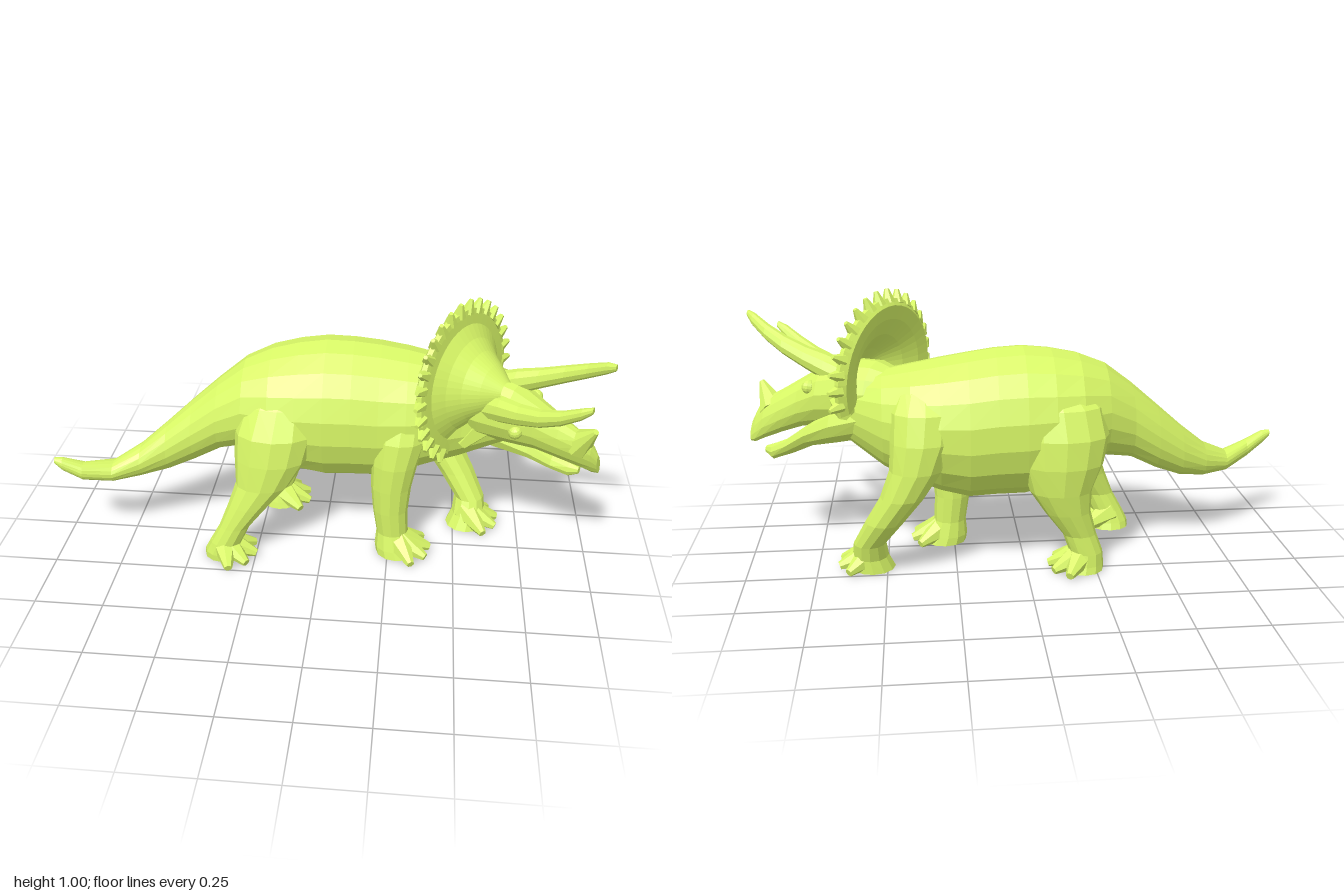
import * as THREE from 'three';

const skin = new THREE.MeshStandardMaterial({ color: 0xd9f867, flatShading: true, side: THREE.DoubleSide });

function addMesh(parent, name, geometry) {
  const mesh = new THREE.Mesh(geometry, skin);
  mesh.name = name;
  parent.add(mesh);
  return mesh;
}

// Closed skin over elliptical rings; each section is [x, y, z, radiusU, radiusV].
// Rings stand upright across x, or lie flat when flat is true (sections then run downwards).
function loft(sections, sides, flat = false) {
  const pos = [], index = [], rows = sections.length;
  for (const [x, y, z, ru, rv] of sections) {
    for (let j = 0; j < sides; j++) {
      const a = (j / sides) * Math.PI * 2, u = ru * Math.cos(a), v = rv * Math.sin(a);
      pos.push(flat ? x + u : x, flat ? y : y + u, z + v);
    }
  }
  for (let i = 0; i < rows - 1; i++) {
    for (let j = 0; j < sides; j++) {
      const k = (j + 1) % sides, a = i * sides, b = a + sides;
      index.push(a + j, a + k, b + j, a + k, b + k, b + j);
    }
  }
  const first = rows * sides, lastRing = first - sides;
  pos.push(...sections[0].slice(0, 3), ...sections[rows - 1].slice(0, 3));
  for (let j = 0; j < sides; j++) {
    const k = (j + 1) % sides;
    index.push(first, k, j, first + 1, lastRing + j, lastRing + k);
  }
  const g = new THREE.BufferGeometry();
  g.setAttribute('position', new THREE.Float32BufferAttribute(pos, 3));
  g.setIndex(index);
  g.computeVertexNormals();
  return g;
}

// Cone running from a base point to a tip point
function spike(parent, name, base, tip, radius, tipRadius, sides = 6) {
  const a = new THREE.Vector3(...base), b = new THREE.Vector3(...tip);
  const dir = b.clone().sub(a);
  const mesh = addMesh(parent, name, new THREE.CylinderGeometry(tipRadius, radius, dir.length(), sides));
  mesh.position.copy(a).add(b).multiplyScalar(0.5);
  mesh.quaternion.setFromUnitVectors(new THREE.Vector3(0, 1, 0), dir.normalize());
}

// Leg from shoulder or hip to sole, with four splayed toes around the heading angle
function leg(parent, name, sections, heading) {
  const g = new THREE.Group();
  g.name = name;
  parent.add(g);
  addMesh(g, 'limb', loft(sections, 12, true));
  const [x, , z] = sections[sections.length - 1];
  for (let i = 0; i < 4; i++) {
    const a = heading + (i - 1.5) * 0.6, c = Math.cos(a), s = Math.sin(a);
    spike(g, 'toe', [x + c * 0.005, 0.066, z + s * 0.005], [x + c * 0.125, 0.026, z + s * 0.125], 0.054, 0.015, 7);
  }
}

// Neck frill flaring back from the skull like a trumpet bell, open below and ringed with blunt spikes
function buildFrill() {
  const g = new THREE.Group();
  g.name = 'neckFrill';
  g.position.x = -0.03;
  g.rotation.set(0, -0.08, 0.1);
  const rad = THREE.MathUtils.degToRad;
  const profile = [[0.02, 0.13], [0.08, 0.09], [0.14, 0.04], [0.2, 0.01], [0.25, 0.0], [0.274, 0.018],
    [0.27, 0.036], [0.25, 0.038], [0.215, 0.04], [0.17, 0.068], [0.13, 0.105], [0.09, 0.155], [0.04, 0.21]];
  const shell = new THREE.LatheGeometry(profile.map(([r, h]) => new THREE.Vector2(r, h)), 32, rad(-224), rad(268));
  shell.rotateZ(-Math.PI / 2);
  addMesh(g, 'frillShell', shell);
  for (let i = 0; i < 22; i++) {
    const a = rad(-36 + i * 12), c = Math.cos(a), s = Math.sin(a);
    spike(g, 'frillSpike', [0.024, s * 0.256, c * 0.256], [0.036, s * 0.304, c * 0.304], 0.025, 0.008);
  }
  return g;
}

function buildHead() {
  const head = new THREE.Group();
  head.name = 'head';
  head.position.set(0.5, 0.7, -0.04);
  head.rotation.set(0.4, -0.48, 0, 'YZX');
  head.add(buildFrill());

  // Skull and hooked upper beak
  addMesh(head, 'skull', loft([
    [-0.08, -0.06, 0, 0.08, 0.08], [0, -0.07, 0, 0.12, 0.12], [0.1, -0.075, 0, 0.125, 0.125],
    [0.2, -0.09, 0, 0.115, 0.11], [0.29, -0.125, 0, 0.095, 0.08], [0.37, -0.165, 0, 0.085, 0.062],
    [0.44, -0.2, 0, 0.08, 0.045], [0.48, -0.23, 0, 0.07, 0.028], [0.5, -0.255, 0, 0.045, 0.015],
  ], 14));
  addMesh(head, 'lowerJaw', loft([
    [0, -0.16, 0, 0.07, 0.1], [0.14, -0.2, 0, 0.065, 0.085], [0.25, -0.25, 0, 0.04, 0.058],
    [0.33, -0.3, 0, 0.03, 0.042], [0.39, -0.325, 0, 0.03, 0.03], [0.425, -0.322, 0, 0.014, 0.014],
  ], 10));

  // Paired brow horns, eyes and cheeks
  for (const side of [-1, 1]) {
    addMesh(head, 'browHorn', loft([
      [0.1, -0.03, 0.05, 0.05, 0.05], [0.18, -0.005, 0.07, 0.05, 0.045], [0.26, 0.02, 0.09, 0.041, 0.037],
      [0.35, 0.055, 0.108, 0.035, 0.03], [0.43, 0.095, 0.113, 0.03, 0.024], [0.5, 0.138, 0.108, 0.024, 0.018],
      [0.535, 0.16, 0.1, 0.013, 0.011],
    ].map(([x, y, z, u, v]) => [x, y, z * side, u, v]), 10));
    const eye = addMesh(head, 'eye', new THREE.SphereGeometry(0.026, 10, 8));
    eye.position.set(0.235, -0.085, side * 0.09);
    spike(head, 'cheek', [0.09, -0.12, side * 0.07], [0.04, -0.17, side * 0.15], 0.06, 0.025);
  }
  spike(head, 'noseHorn', [0.425, -0.17, 0], [0.497, -0.075, 0], 0.055, 0.011, 8);
  return head;
}

export function createModel() {
  const model = new THREE.Group();
  model.name = 'hornedDinosaur';

  // Tail, trunk and neck in one skin
  addMesh(model, 'body', loft([
    [-1, 0.38, 0.13, 0.012, 0.012], [-0.97, 0.365, 0.127, 0.026, 0.022], [-0.9, 0.328, 0.108, 0.034, 0.036],
    [-0.8, 0.303, 0.05, 0.039, 0.054], [-0.7, 0.33, 0, 0.064, 0.07], [-0.6, 0.38, -0.035, 0.097, 0.085],
    [-0.5, 0.445, -0.055, 0.122, 0.105], [-0.4, 0.515, -0.065, 0.14, 0.13], [-0.3, 0.563, -0.08, 0.17, 0.17],
    [-0.2, 0.557, -0.095, 0.218, 0.215], [-0.1, 0.545, -0.105, 0.253, 0.232], [0, 0.54, -0.112, 0.27, 0.237],
    [0.1, 0.538, -0.118, 0.267, 0.235], [0.2, 0.53, -0.125, 0.262, 0.23], [0.3, 0.535, -0.125, 0.24, 0.222],
    [0.4, 0.545, -0.12, 0.21, 0.2], [0.5, 0.555, -0.095, 0.175, 0.16], [0.6, 0.575, -0.05, 0.13, 0.115],
    [0.68, 0.58, -0.01, 0.08, 0.08],
  ], 18));

  leg(model, 'rightHindLeg', [
    [-0.14, 0.7, 0, 0.07, 0.04], [-0.16, 0.62, 0.035, 0.13, 0.08], [-0.175, 0.52, 0.07, 0.148, 0.1],
    [-0.19, 0.42, 0.09, 0.135, 0.095], [-0.22, 0.32, 0.115, 0.1, 0.075], [-0.27, 0.24, 0.135, 0.077, 0.06],
    [-0.325, 0.15, 0.15, 0.057, 0.048], [-0.36, 0.08, 0.15, 0.06, 0.053], [-0.37, 0.035, 0.145, 0.072, 0.06],
    [-0.37, 0.01, 0.14, 0.075, 0.064],
  ], 0.4);
  leg(model, 'leftHindLeg', [
    [-0.1, 0.7, -0.2, 0.09, 0.05], [-0.12, 0.62, -0.235, 0.15, 0.09], [-0.13, 0.52, -0.26, 0.16, 0.1],
    [-0.125, 0.42, -0.27, 0.145, 0.095], [-0.12, 0.32, -0.272, 0.11, 0.08], [-0.145, 0.24, -0.27, 0.082, 0.065],
    [-0.19, 0.15, -0.26, 0.06, 0.052], [-0.215, 0.08, -0.255, 0.06, 0.058], [-0.21, 0.035, -0.25, 0.07, 0.068],
    [-0.205, 0.01, -0.25, 0.075, 0.075],
  ], -0.15);
  leg(model, 'rightFrontLeg', [
    [0.3, 0.68, -0.02, 0.06, 0.04], [0.29, 0.6, 0.005, 0.1, 0.07], [0.28, 0.5, 0.035, 0.1, 0.08],
    [0.265, 0.4, 0.05, 0.085, 0.073], [0.255, 0.3, 0.052, 0.075, 0.067], [0.255, 0.2, 0.05, 0.066, 0.064],
    [0.265, 0.1, 0.05, 0.06, 0.058], [0.275, 0.04, 0.055, 0.075, 0.07], [0.285, 0.01, 0.058, 0.08, 0.075],
  ], 0.2);
  leg(model, 'leftFrontLeg', [
    [0.35, 0.71, -0.2, 0.08, 0.05], [0.35, 0.62, -0.25, 0.12, 0.09], [0.36, 0.52, -0.275, 0.115, 0.09],
    [0.385, 0.42, -0.283, 0.095, 0.085], [0.435, 0.32, -0.275, 0.08, 0.083], [0.5, 0.22, -0.245, 0.07, 0.08],
    [0.56, 0.12, -0.2, 0.058, 0.066], [0.56, 0.06, -0.175, 0.065, 0.07], [0.55, 0.01, -0.165, 0.078, 0.08],
  ], 0.1);

  model.add(buildHead());
  return model;
}
